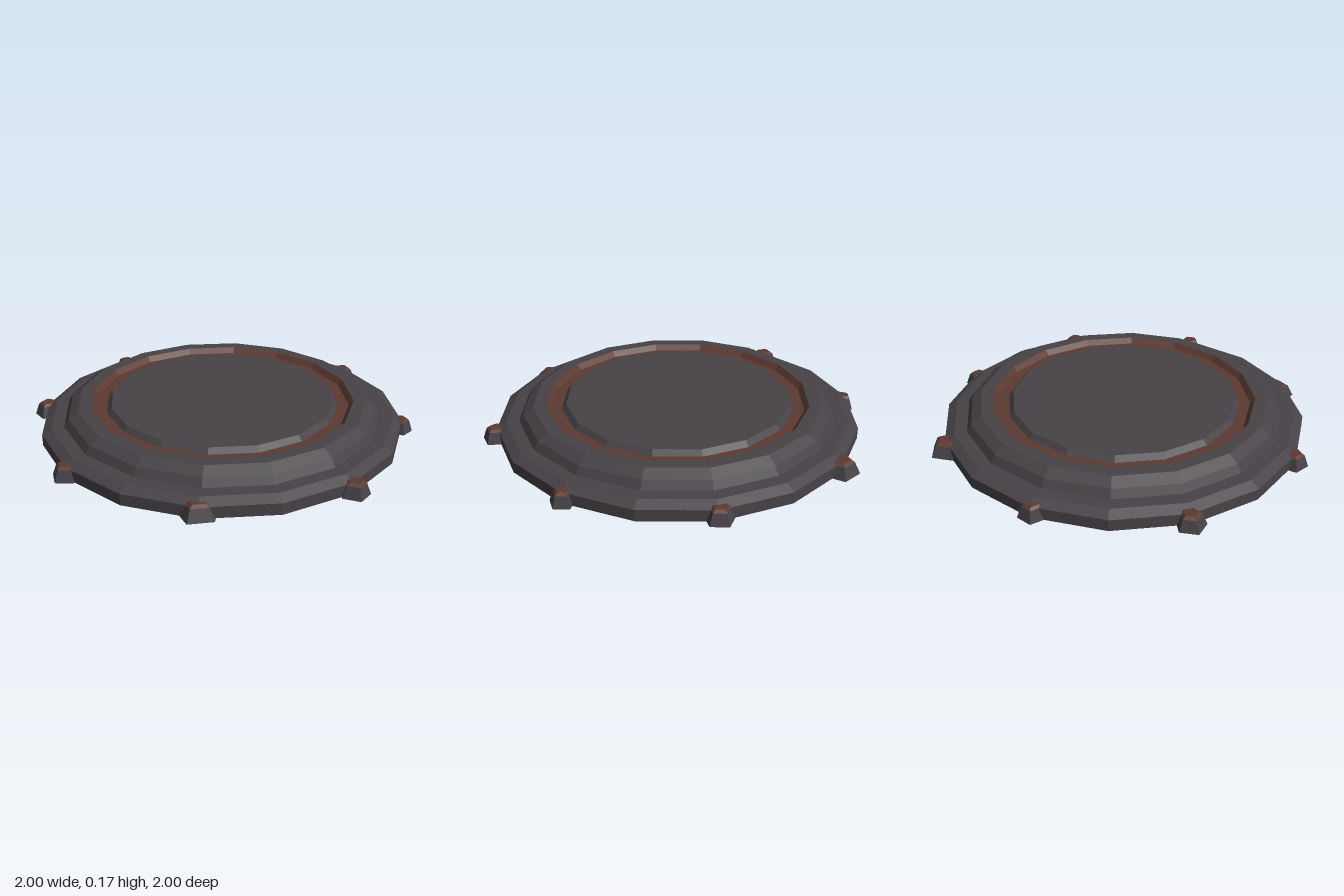
import * as THREE from 'three';

const stone = new THREE.MeshStandardMaterial({ color: 0x474247 });
stone.name = 'dark stone';
const rust = new THREE.MeshStandardMaterial({ color: 0x5c3b32 });
rust.name = 'rust brown';

// Faceted ring swept from [radius, height] pairs, listed from the underside outwards and up.
function facetedLathe(name, profile, sides, material, start = 0) {
  const points = profile.map(([r, y]) => new THREE.Vector2(r, y));
  const geometry = new THREE.LatheGeometry(points, sides, start).toNonIndexed();
  geometry.computeVertexNormals();
  const mesh = new THREE.Mesh(geometry, material);
  mesh.name = name;
  return mesh;
}

// Stub on the rim: centre x, centre z, base radius, direction of one corner in degrees
const STUBS = [
  [-0.387, -0.908, 0.103, 225],
  [0.37, -0.91, 0.08, 270],
  [0.915, -0.385, 0.07, -20],
  [0.933, 0.373, 0.08, 45],
  [0.355, 0.88, 0.11, 16],
  [-0.386, 0.91, 0.08, 100],
  [-0.93, 0.38, 0.08, 151],
  [-0.906, -0.37, 0.075, 180],
];

// Five-sided tapered stub with a rusty cap
function createStub([x, z, r, degrees]) {
  const stub = new THREE.Group();
  stub.name = 'rimStub';
  const start = THREE.MathUtils.degToRad(90 - degrees);
  stub.add(
    facetedLathe('stubBody', [[0, 0], [r, 0], [r * 0.7, 0.062]], 5, stone, start),
    facetedLathe('stubCap', [[r * 0.7, 0.062], [r * 0.5, 0.075], [0, 0.075]], 5, rust, start),
  );
  stub.position.set(x, 0, z);
  return stub;
}

export function createModel() {
  const model = new THREE.Group();
  model.name = 'roundPlatform';

  // Low base slab with a bevelled rim
  model.add(facetedLathe('base', [[0, 0], [1, 0], [1, 0.062], [0.95, 0.09], [0.88, 0.092]], 16, stone));
  // Raised tier around the groove
  model.add(facetedLathe('upperTier', [[0.88, 0.092], [0.855, 0.135], [0.8, 0.17], [0.73, 0.17]], 16, stone));
  // Sunken rusty ring
  model.add(facetedLathe('groove', [[0.73, 0.17], [0.705, 0.14], [0.645, 0.14]], 16, rust));
  // Centre disc with a bevelled edge
  model.add(facetedLathe('centreDisc', [[0.645, 0.14], [0.62, 0.168], [0, 0.168]], 16, stone));

  // Stubs around the rim
  STUBS.forEach((stub) => model.add(createStub(stub)));
  return model;
}
